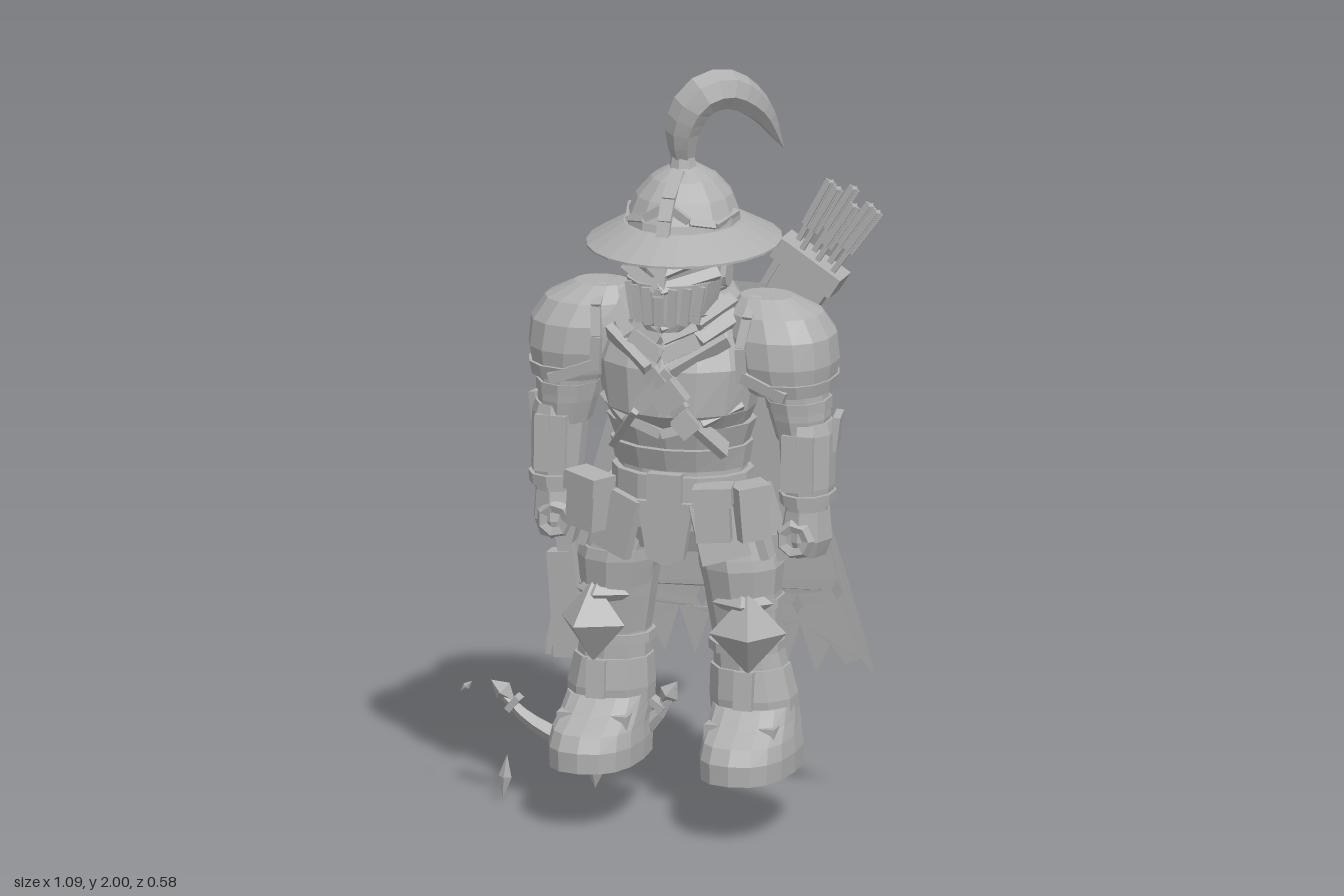
import * as THREE from 'three';

const grey = new THREE.MeshStandardMaterial({ color: 0xb0b0b0, flatShading: true, side: THREE.DoubleSide });
grey.name = 'plain grey';

const V = (x, y, z) => new THREE.Vector3(x, y, z);

function add(parent, name, geo, pos = [0, 0, 0], rot = [0, 0, 0], scale = [1, 1, 1]) {
  const m = new THREE.Mesh(geo, grey);
  m.name = name;
  m.position.set(...pos);
  m.rotation.set(...rot);
  m.scale.set(...scale);
  parent.add(m);
  return m;
}

const box = (p, name, size, pos, rot) => add(p, name, new THREE.BoxGeometry(...size), pos, rot);

// Closed skin over rings [y, cx, cz, rx, rz], listed from bottom to top; power below 1 squares the outline
function loft(parent, name, rings, sides = 12, power = 1) {
  const pos = [], idx = [], n = rings.length;
  const bend = v => Math.sign(v) * Math.pow(Math.abs(v), power);
  for (const [y, cx, cz, rx, rz] of rings)
    for (let j = 0; j < sides; j++) {
      const a = (j / sides) * Math.PI * 2;
      pos.push(cx + rx * bend(Math.sin(a)), y, cz + rz * bend(Math.cos(a)));
    }
  for (const r of [rings[0], rings[n - 1]]) pos.push(r[1], r[0], r[2]);
  for (let j = 0; j < sides; j++) {
    const k = (j + 1) % sides, top = (n - 1) * sides;
    for (let i = 0; i < n - 1; i++) {
      const a = i * sides + j, b = i * sides + k;
      idx.push(a, b, b + sides, a, b + sides, a + sides);
    }
    idx.push(n * sides, k, j, n * sides + 1, top + j, top + k);
  }
  const g = new THREE.BufferGeometry();
  g.setAttribute('position', new THREE.Float32BufferAttribute(pos, 3));
  g.setIndex(idx);
  g.computeVertexNormals();
  return add(parent, name, g);
}

// Box stretched between two points
function bar(parent, name, a, b, w, d) {
  const A = V(...a), B = V(...b), dir = B.clone().sub(A);
  const m = box(parent, name, [w, dir.length(), d], A.clone().add(B).multiplyScalar(0.5).toArray());
  m.quaternion.setFromUnitVectors(V(0, 1, 0), dir.normalize());
}

function chain(parent, name, pts, w, d) {
  for (let i = 1; i < pts.length; i++) bar(parent, name, pts[i - 1], pts[i], w, d);
}

// Tube along a curve whose radius follows a rule
function taper(parent, name, pts, segs, sides, radius) {
  const curve = new THREE.CatmullRomCurve3(pts.map(p => V(...p)));
  const g = new THREE.TubeGeometry(curve, segs, 1, sides), p = g.attributes.position, v = V(0, 0, 0);
  for (let i = 0; i < p.count; i++) {
    const t = Math.floor(i / (sides + 1)) / segs, c = curve.getPointAt(t);
    v.fromBufferAttribute(p, i).sub(c).multiplyScalar(radius(t)).add(c);
    p.setXYZ(i, v.x, v.y, v.z);
  }
  add(parent, name, g);
  return curve;
}

const plate = (pts, depth) =>
  new THREE.ExtrudeGeometry(new THREE.Shape(pts.map(p => new THREE.Vector2(...p))), { depth, bevelEnabled: false });

function buildHead(g) {
  loft(g, 'head', [[1.38, 0, 0, 0.09, 0.09], [1.43, 0, 0, 0.12, 0.135], [1.5, 0, 0, 0.125, 0.15], [1.6, 0, 0, 0.13, 0.155]]);
  // Pointed visor with bars, brow and eye guards
  loft(g, 'visor', [[1.345, 0, 0.08, 0.08, 0.125], [1.37, 0, 0.075, 0.105, 0.135], [1.47, 0, 0.065, 0.128, 0.148]]);
  for (let i = -3; i <= 3; i++) {
    const a = i * 0.3;
    bar(g, 'visorBar', [0.105 * Math.sin(a), 1.365, 0.077 + 0.133 * Math.cos(a)], [0.125 * Math.sin(a), 1.465, 0.067 + 0.148 * Math.cos(a)], 0.022, 0.012);
  }
  for (const s of [-1, 1]) {
    bar(g, 'visorRim', [0, 1.46, 0.213], [s * 0.125, 1.49, 0.1], 0.03, 0.02);
    bar(g, 'eyeGuard', [0, 1.5, 0.195], [s * 0.12, 1.545, 0.085], 0.03, 0.02);
    bar(g, 'chinRim', [0, 1.357, 0.205], [s * 0.09, 1.38, 0.12], 0.022, 0.016);
    add(g, 'hinge', new THREE.CylinderGeometry(0.035, 0.035, 0.015, 8), [s * 0.125, 1.47, 0.03], [0, 0, Math.PI / 2]);
  }
  bar(g, 'noseGuard', [0, 1.44, 0.212], [0, 1.55, 0.18], 0.03, 0.02);
  // Wide brim and domed crown
  const brim = [[0.45, 1.575], [1, 1.54], [1, 1.546], [0.62, 1.6], [0.45, 1.605]].map(p => new THREE.Vector2(...p));
  add(g, 'hatBrim', new THREE.LatheGeometry(brim, 24), [0, 0, 0], [0, 0, 0], [0.25, 1, 0.288]);
  loft(g, 'hatCrown', [[1.57, 0, 0.01, 0.15, 0.172], [1.62, 0, 0.005, 0.145, 0.163], [1.67, 0, 0, 0.125, 0.137], [1.715, 0, 0, 0.085, 0.095], [1.745, 0, 0, 0.035, 0.04]], 14);
  chain(g, 'crownRidge', [[0, 1.575, 0.185], [0, 1.63, 0.163], [0, 1.68, 0.128], [0, 1.735, 0.05]], 0.035, 0.018);
  for (const s of [-1, 1])
    chain(g, 'crownTrim', [[0.015 * s, 1.66, 0.143], [0.06 * s, 1.63, 0.145], [0.115 * s, 1.615, 0.1], [0.14 * s, 1.63, 0.0]], 0.022, 0.014);
  add(g, 'plumeSocket', new THREE.CylinderGeometry(0.03, 0.038, 0.035, 8), [0, 1.755, 0.01]);
  // Curling plume with loose tufts
  const curve = taper(g, 'plume', [[0, 1.765, 0.01], [0.005, 1.85, 0.025], [0.045, 1.93, 0.018], [0.1, 1.945, -0.03], [0.165, 1.885, -0.105], [0.21, 1.76, -0.18]],
    14, 7, t => 0.002 + 0.028 * (1 - t) + 0.037 * Math.sin(Math.PI * Math.pow(t, 0.9)));
  for (let i = 0; i < 6; i++) {
    const t = 0.3 + i * 0.09, c = curve.getPointAt(t), d = curve.getTangentAt(t);
    const m = add(g, 'plumeTuft', new THREE.ConeGeometry(0.02, 0.1, 4), [c.x, c.y + (i % 2 ? 0.02 : -0.035) * (1 - t), c.z + (i % 3 - 1) * 0.025]);
    m.quaternion.setFromUnitVectors(V(0, 1, 0), d);
  }
}

function buildTorso(g) {
  loft(g, 'torso', [[0.86, 0, 0.01, 0.17, 0.13], [0.96, 0, 0.01, 0.17, 0.125], [1.04, 0, 0.02, 0.165, 0.125], [1.12, 0, 0.035, 0.2, 0.175],
    [1.24, 0, 0.035, 0.22, 0.17], [1.34, 0, 0.015, 0.19, 0.14], [1.41, 0, 0, 0.1, 0.1]], 14);
  for (let i = 0; i < 2; i++)
    loft(g, 'waistPlate', [[0.96 + i * 0.06, 0, 0.015, 0.178, 0.135], [1.02 + i * 0.06, 0, 0.02, 0.188 + i * 0.01, 0.15]], 14);
  // Scarf with crossing folds and a hanging point
  loft(g, 'scarf', [[1.31, 0, 0.01, 0.17, 0.16], [1.345, 0, 0, 0.19, 0.17], [1.38, 0, 0, 0.165, 0.155], [1.42, 0, -0.01, 0.13, 0.135]], 11);
  add(g, 'scarfPoint', new THREE.ConeGeometry(0.15, 0.12, 5), [0, 1.315, 0.085], [Math.PI - 0.15, 0, 0], [1, 1, 0.75]);
  for (const s of [-1, 1]) {
    chain(g, 'scarfFold', [[0, 1.275, 0.185], [s * 0.09, 1.32, 0.16], [s * 0.165, 1.37, 0.06]], 0.04, 0.025);
    chain(g, 'scarfFold', [[0, 1.325, 0.185], [s * 0.08, 1.36, 0.15], [s * 0.145, 1.405, 0.04]], 0.035, 0.025);
  }
  // Chest straps and buckles
  const strap = s => [[-0.16 * s, 1.32, 0.13], [-0.03 * s, 1.24, 0.205], [0.06 * s, 1.14, 0.21], [0.15 * s, 1.02, 0.12]];
  chain(g, 'chestStrap', strap(1), 0.05, 0.022);
  chain(g, 'chestStrap', strap(-1), 0.04, 0.018);
  box(g, 'buckle', [0.08, 0.07, 0.04], [0.03, 1.18, 0.22], [0, 0, 0.7]);
  box(g, 'buckle', [0.055, 0.055, 0.04], [0.075, 1.11, 0.22], [0, 0.3, 0.7]);
  for (const s of [-1, 1])
    chain(g, 'breastRim', [[0, 1.07, 0.19], [0.1 * s, 1.1, 0.17], [0.185 * s, 1.14, 0.09]], 0.025, 0.022);
  // Belt, skirt and pouches
  loft(g, 'belt', [[0.88, 0, 0.01, 0.187, 0.147], [0.945, 0, 0.01, 0.187, 0.147]], 14);
  box(g, 'beltBuckle', [0.09, 0.085, 0.03], [0, 0.915, 0.16]);
  loft(g, 'hips', [[0.74, 0, 0.01, 0.17, 0.11], [0.8, 0, 0.01, 0.2, 0.135], [0.89, 0, 0.01, 0.18, 0.135]], 12);
  add(g, 'loinPlate', plate([[-0.075, 0.88], [-0.05, 0.73], [0, 0.71], [0.05, 0.73], [0.075, 0.88]], 0.025), [0, 0, 0.14]);
  for (const s of [-1, 1]) {
    box(g, 'hipPlate', [0.13, 0.16, 0.025], [s * 0.14, 0.81, 0.135], [-0.1, s * 0.45, s * 0.25]);
    box(g, 'sidePlate', [0.025, 0.17, 0.17], [s * 0.225, 0.81, 0.01], [0, 0, s * 0.3]);
    box(g, 'rearPlate', [0.15, 0.15, 0.025], [s * 0.09, 0.81, -0.12], [0.1, -s * 0.3, s * 0.1]);
  }
  for (const [x, z, w, r] of [[-0.215, 0.13, 0.1, -0.5], [0.13, 0.155, 0.09, 0.2], [0.215, 0.11, 0.08, 0.7]]) {
    box(g, 'pouch', [w, 0.13, 0.07], [x, 0.855, z], [0, r, x * 0.4]);
    box(g, 'pouchFlap', [w + 0.012, 0.05, 0.08], [x, 0.91, z], [0, r, x * 0.4]);
  }
}

function buildArm(g, s) {
  // Domed pauldron reaching inward toward the neck
  loft(g, 'pauldron', [[1.19, s * 0.285, 0, 0.118, 0.138], [1.25, s * 0.28, 0, 0.133, 0.15], [1.32, s * 0.27, 0, 0.137, 0.142], [1.375, s * 0.25, 0, 0.122, 0.112], [1.415, s * 0.225, 0, 0.07, 0.06]], 14, 0.9);
  loft(g, 'pauldronRim', [[1.175, s * 0.295, 0, 0.11, 0.14], [1.21, s * 0.29, 0, 0.122, 0.152]], 14, 0.9);
  for (const f of [-1, 1]) {
    chain(g, 'pauldronBorder', [[s * 0.2, 1.21, f * 0.13], [s * 0.195, 1.3, f * 0.132], [s * 0.205, 1.37, f * 0.105], [s * 0.21, 1.41, f * 0.03]], 0.026, 0.02);
    bar(g, 'pauldronPoint', [s * 0.2, 1.225, f * 0.132], [s * 0.32, 1.18, f * 0.142], 0.03, 0.02);
  }
  loft(g, 'upperArm', [[1.04, s * 0.32, 0, 0.065, 0.08], [1.1, s * 0.315, 0, 0.078, 0.092], [1.2, s * 0.3, 0, 0.085, 0.1]], 10);
  loft(g, 'armBand', [[1.12, s * 0.313, 0, 0.083, 0.098], [1.15, s * 0.31, 0, 0.086, 0.102]], 10);
  loft(g, 'forearm', [[0.86, s * 0.34, 0.015, 0.058, 0.075], [0.92, s * 0.34, 0.01, 0.067, 0.085], [1.06, s * 0.335, 0, 0.073, 0.092], [1.09, s * 0.333, 0, 0.066, 0.084]], 10);
  loft(g, 'cuff', [[0.875, s * 0.34, 0.015, 0.07, 0.09], [0.905, s * 0.34, 0.015, 0.073, 0.093]], 10);
  box(g, 'elbowPlate', [0.02, 0.09, 0.09], [s * 0.4, 1.055, -0.04], [0, s * 0.2, -s * 0.12]);
  box(g, 'forearmPlate', [0.085, 0.15, 0.016], [s * 0.335, 0.99, 0.086], [-0.04, 0, 0]);
  // Closed fist
  loft(g, 'palm', [[0.735, s * 0.335, 0.01, 0.052, 0.065], [0.78, s * 0.335, 0.01, 0.07, 0.08], [0.87, s * 0.34, 0.01, 0.058, 0.07]], 8);
  add(g, 'thumbRing', new THREE.TorusGeometry(0.036, 0.018, 5, 7), [s * 0.325, 0.785, 0.075]);
  for (let i = 0; i < 4; i++) box(g, 'finger', [0.05, 0.07, 0.032], [s * 0.295, 0.765, 0.065 - i * 0.036], [0, 0, s * 0.25]);
}

function buildLeg(g, s) {
  loft(g, 'leg', [[0.28, s * 0.195, 0.005, 0.1, 0.1], [0.4, s * 0.188, 0.01, 0.1, 0.095], [0.5, s * 0.178, 0.015, 0.09, 0.09], [0.6, s * 0.17, 0.02, 0.098, 0.1],
    [0.72, s * 0.16, 0.025, 0.105, 0.112], [0.84, s * 0.12, 0.015, 0.1, 0.11]], 10);
  loft(g, 'thighPlate', [[0.63, s * 0.17, 0.028, 0.098, 0.105], [0.7, s * 0.165, 0.028, 0.11, 0.116], [0.73, s * 0.16, 0.028, 0.107, 0.113]], 10);
  loft(g, 'greave', [[0.31, s * 0.195, 0.01, 0.114, 0.11], [0.35, s * 0.193, 0.012, 0.115, 0.112], [0.43, s * 0.185, 0.015, 0.104, 0.1]], 10);
  add(g, 'kneeGuard', new THREE.OctahedronGeometry(1), [s * 0.21, 0.535, 0.115], [0, s * 0.3, 0], [0.1, 0.11, 0.09]);
  add(g, 'kneeWing', new THREE.OctahedronGeometry(1), [s * 0.19, 0.61, 0.095], [0, s * 0.2, 0], [0.08, 0.06, 0.055]);
  bar(g, 'greaveRidge', [s * 0.2, 0.33, 0.12], [s * 0.2, 0.43, 0.11], 0.05, 0.03);
  for (const y of [0.47, 0.59])
    loft(g, 'kneeStrap', [[y, s * 0.175, 0.015, 0.099, 0.099], [y + 0.025, s * 0.175, 0.015, 0.099, 0.099]], 10);
  // Boot with a broad toe and flat sole
  loft(g, 'boot', [[0.162, s * 0.205, 0.066, 0.117, 0.198], [0.215, s * 0.205, 0.066, 0.119, 0.198], [0.255, s * 0.204, 0.06, 0.114, 0.18], [0.29, s * 0.2, 0.03, 0.11, 0.145], [0.33, s * 0.197, 0.01, 0.106, 0.112]], 16, 0.8);
  bar(g, 'bootStrap', [s * 0.2 - 0.095, 0.27, 0.11], [s * 0.2 + 0.095, 0.27, 0.11], 0.05, 0.1);
}

function buildCape(g) {
  // Flaring sides, ragged hem and a few torn holes
  const pts = [[-0.17, 1.4], [-0.2, 1.25], [-0.25, 1.05], [-0.31, 0.85], [-0.37, 0.65], [-0.42, 0.48]];
  const edge = pts.map(([x, y]) => [-x, y]).reverse();
  for (let i = 0; i <= 22; i++) {
    const x = -0.45 + i * 0.041;
    pts.push([x, (i % 2 ? 0.425 : 0.345) + 0.03 * Math.sin(i * 2.3) + 0.06 * (1 - Math.abs(x) / 0.45)]);
  }
  const shape = new THREE.Shape([...pts, ...edge].map(p => new THREE.Vector2(...p)));
  for (const [x, y] of [[0.35, 0.58], [-0.36, 0.52], [-0.02, 0.53], [0.24, 0.53]])
    shape.holes.push(new THREE.Path([[0.016, 0], [0, 0.03], [-0.014, 0], [0, -0.025]].map(([a, b]) => new THREE.Vector2(x + a, y + b))));
  const geo = new THREE.ShapeGeometry(shape), p = geo.attributes.position;
  for (let i = 0; i < p.count; i++) p.setZ(i, -0.152 - (1.4 - p.getY(i)) * 0.062 + 0.05 * p.getX(i) ** 2);
  geo.computeVertexNormals();
  add(g, 'cape', geo);
}

function buildQuiver(root) {
  const q = new THREE.Group();
  q.name = 'quiver';
  q.position.set(-0.02, 0.865, -0.212);
  q.rotation.z = -0.566;
  root.add(q);
  add(q, 'quiverBody', plate([[-0.05, 0], [0.05, 0], [0.075, 0.68], [-0.075, 0.68]], 0.05), [0, 0, -0.025]);
  for (const s of [-1, 1]) bar(q, 'quiverEdge', [s * 0.05, 0, 0], [s * 0.073, 0.67, 0], 0.018, 0.065);
  box(q, 'quiverFoot', [0.115, 0.025, 0.07], [0, 0.005, 0]);
  box(q, 'quiverCollar', [0.19, 0.06, 0.09], [0, 0.685, 0]);
  for (let i = 0; i < 6; i++) {
    const f = i / 2.5 - 1, z = i % 2 ? 0.018 : -0.018, top = 0.9 + (i % 3) * 0.012;
    bar(q, 'arrow', [f * 0.055, 0.6, z], [f * 0.075, top, z], 0.014, 0.014);
    bar(q, 'fletching', [f * 0.065, top - 0.14, z], [f * 0.075, top, z], 0.032, 0.005);
    bar(q, 'fletching', [f * 0.065, top - 0.14, z], [f * 0.075, top, z], 0.005, 0.032);
  }
}

function buildCrossbow(root) {
  const c = new THREE.Group();
  c.name = 'crossbow';
  c.position.z = -0.01;
  root.add(c);
  bar(c, 'stock', [-0.265, 0.82, 0], [-0.175, 0.14, 0], 0.04, 0.035);
  bar(c, 'stockGrip', [-0.265, 0.68, 0], [-0.245, 0.4, 0], 0.06, 0.05);
  bar(c, 'trigger', [-0.28, 0.5, 0], [-0.295, 0.4, 0], 0.015, 0.015);
  taper(c, 'bowLimb', [[-0.43, 0.29, 0], [-0.35, 0.22, 0], [-0.25, 0.175, 0], [-0.17, 0.165, 0], [-0.08, 0.19, 0], [0, 0.26, 0], [0.045, 0.34, 0]],
    14, 5, t => 0.01 + 0.018 * Math.sin(Math.PI * t));
  add(c, 'boltHead', new THREE.OctahedronGeometry(1), [-0.17, 0.105, 0], [0, 0, 0], [0.028, 0.055, 0.028]);
  box(c, 'boltCollar', [0.065, 0.03, 0.055], [-0.172, 0.15, 0]);
  for (const [x, y, r] of [[-0.42, 0.29, 0.9], [0.03, 0.32, -0.6]]) {
    add(c, 'limbTip', new THREE.OctahedronGeometry(1), [x, y, 0], [0, 0, r], [0.028, 0.042, 0.028]);
    box(c, 'limbClamp', [0.045, 0.018, 0.04], [x - Math.sign(x) * 0.03, y - 0.03, 0], [0, 0, r]);
  }
  // Floating shards
  add(c, 'shard', new THREE.OctahedronGeometry(1), [-0.415, 0.06, 0], [0, 0, -0.1], [0.018, 0.06, 0.012]);
  add(c, 'shard', new THREE.OctahedronGeometry(1), [-0.52, 0.293, 0], [0, 0, -0.8], [0.01, 0.022, 0.01]);
}

export function createModel() {
  const root = new THREE.Group();
  root.name = 'armouredArcher';
  const body = new THREE.Group();
  body.name = 'body';
  body.position.x = 0.075;
  root.add(body);
  buildHead(body);
  buildTorso(body);
  for (const s of [-1, 1]) {
    buildArm(body, s);
    buildLeg(body, s);
  }
  buildCape(body);
  buildQuiver(root);
  buildCrossbow(root);
  return root;
}
